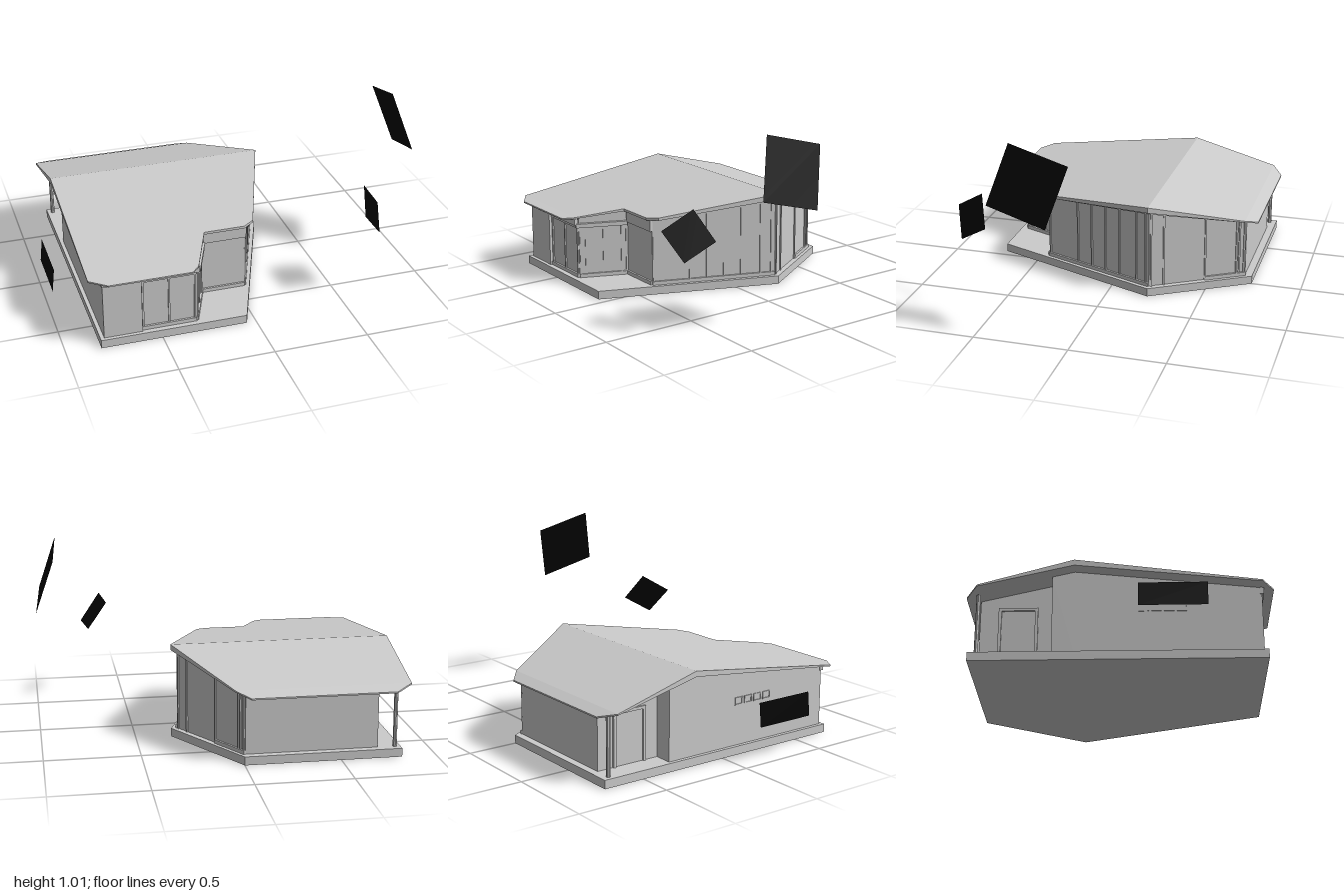
import * as THREE from 'three';

const grey = new THREE.MeshStandardMaterial({ color: 0xcccccc, flatShading: true, side: THREE.DoubleSide });
const black = new THREE.MeshStandardMaterial({ color: 0x030303, side: THREE.DoubleSide });

// Roof heights along z: ridge at -0.22, flatter lip at the front eave, steeper at the back
const lerp = THREE.MathUtils.mapLinear;
function roofTop(z) {
  if (z > 0.69) return lerp(z, 0.69, 0.75, 0.39, 0.383);
  if (z > -0.22) return lerp(z, -0.22, 0.69, 0.51, 0.39);
  if (z > -0.69) return lerp(z, -0.22, -0.69, 0.51, 0.38);
  return lerp(z, -0.69, -0.75, 0.38, 0.355);
}
function roofUnder(z) {
  const reach = Math.min(1, Math.abs(z + 0.22) / (z > -0.22 ? 0.91 : 0.47));
  return roofTop(z) - lerp(reach, 0, 1, 0.03, 0.008);
}
const wallTop = (z) => roofUnder(z) - 0.002;

export function createModel() {
  const house = new THREE.Group();
  house.name = 'house';

  // Prism over an [x, z] outline; bottom and top are heights or functions of z
  function prism(name, outline, bottom, top, parent = house) {
    const shape = new THREE.Shape(outline.map(([x, z]) => new THREE.Vector2(x, -z)));
    const geo = new THREE.ExtrudeGeometry(shape, { depth: 1, bevelEnabled: false });
    geo.rotateX(-Math.PI / 2);
    const p = geo.attributes.position;
    for (let i = 0; i < p.count; i++) {
      const h = p.getY(i) > 0.5 ? top : bottom;
      p.setY(i, typeof h === 'function' ? h(p.getZ(i)) : h);
    }
    geo.computeVertexNormals();
    const mesh = new THREE.Mesh(geo, grey);
    mesh.name = name;
    parent.add(mesh);
    return mesh;
  }

  // Bar of width w centred on the plan line a-b
  function bar(name, a, b, w, bottom, top) {
    const dx = b[0] - a[0], dz = b[1] - a[1], l = Math.hypot(dx, dz);
    const nx = (-dz / l) * w / 2, nz = (dx / l) * w / 2;
    prism(name, [[a[0] + nx, a[1] + nz], [b[0] + nx, b[1] + nz], [b[0] - nx, b[1] - nz], [a[0] - nx, a[1] - nz]], bottom, top);
  }

  // Upright bars at fractions of the line a-b
  function mullions(a, b, fractions, top, w = 0.009) {
    const l = Math.hypot(b[0] - a[0], b[1] - a[1]);
    const at = (t) => [a[0] + (b[0] - a[0]) * t, a[1] + (b[1] - a[1]) * t];
    for (const t of fractions) bar('mullion', at(t - w / 2 / l), at(t + w / 2 / l), 0.014, 0.045, top);
  }

  // Ground slab
  prism('slab', [[-0.82, 0.71], [-0.05, 0.71], [0.31, -0.22], [0, -0.73], [-0.82, -0.73]], 0, 0.045);

  // Roof, one prism for each pitch
  const roof = new THREE.Group();
  roof.name = 'roof';
  house.add(roof);
  const pitches = {
    backEave: [[-0.87, -0.69], [-0.78, -0.75], [-0.03, -0.75], [0.04, -0.69]],
    backPitch: [[-0.87, -0.22], [-0.87, -0.69], [0.04, -0.69], [0.31, -0.22]],
    frontPitch: [[-0.87, -0.22], [0.31, -0.22], [0.08, 0.41], [0.02, 0.45], [-0.2, 0.45], [-0.3, 0.69], [-0.87, 0.69]],
    frontEave: [[-0.87, 0.69], [-0.3, 0.69], [-0.31, 0.71], [-0.35, 0.75], [-0.78, 0.75]],
  };
  for (const [name, outline] of Object.entries(pitches)) prism(name, outline, roofUnder, roofTop, roof);

  // Walls: wing and main room in front, porch recess at the back left
  const wingA = [-0.31, 0.67], wingB = [-0.21, 0.42], frontRight = [0.03, 0.42];
  const ridgeRight = [0.275, -0.22], backRight = [-0.01, -0.69];
  prism('frontWalls', [[-0.8, -0.22], [-0.8, 0.69], [-0.6, 0.69], [-0.6, 0.67], wingA, wingB, frontRight, ridgeRight], 0.045, wallTop);
  prism('backWalls', [[-0.8, -0.22], ridgeRight, backRight, [-0.7, -0.69], [-0.7, -0.33], [-0.8, -0.33]], 0.045, wallTop);

  // Sills along the foot of the glazed walls
  const backMid = [0.111, -0.49];
  const runs = [[[-0.6, 0.67], wingA], [wingA, wingB], [wingB, frontRight], [frontRight, ridgeRight], [backMid, backRight]];
  for (const [a, b] of runs) bar('sill', a, b, 0.022, 0.045, 0.065);

  // Headers
  bar('header', [-0.805, 0.69], [-0.3, 0.69], 0.02, 0.345, wallTop);
  bar('header', [-0.305, 0.69], [-0.2, 0.43], 0.02, 0.33, 0.352);
  bar('header', [-0.2, 0.425], [0.035, 0.425], 0.02, 0.345, wallTop);
  bar('topRail', [-0.6, 0.67], wingA, 0.014, 0.322, 0.332);
  bar('topRail', frontRight, ridgeRight, 0.014, (z) => wallTop(z) - 0.015, wallTop);
  bar('topRail', ridgeRight, backRight, 0.014, (z) => wallTop(z) - 0.015, wallTop);

  // Mullions
  mullions([-0.6, 0.67], wingA, [0.03, 0.5, 0.97], 0.33);
  mullions(wingA, wingB, [0.03, 0.14, 0.5, 0.87, 0.97], 0.335);
  mullions(frontRight, ridgeRight, [0.01, 0.3, 0.44, 0.58, 0.72, 0.88, 0.97], wallTop);
  mullions(ridgeRight, backRight, [0.02, 0.15, 0.575, 0.9, 0.93, 0.98], wallTop);

  // Porch post and door
  const post = new THREE.Mesh(new THREE.CylinderGeometry(0.011, 0.011, 0.315, 8), grey);
  post.name = 'porchPost';
  post.position.set(-0.79, 0.2025, -0.69);
  house.add(post);
  bar('doorJamb', [-0.7, -0.6], [-0.7, -0.585], 0.02, 0.045, 0.33);
  bar('doorJamb', [-0.7, -0.42], [-0.7, -0.405], 0.02, 0.045, 0.33);
  bar('doorHead', [-0.7, -0.6], [-0.7, -0.405], 0.02, 0.315, 0.33);

  // Row of small high windows on the back left side
  for (let i = 0; i < 4; i++) {
    const z = 0.09 + i * 0.062;
    const frame = new THREE.Shape([[0, 0], [0.05, 0], [0.05, 0.04], [0, 0.04]].map((p) => new THREE.Vector2(...p)));
    frame.holes.push(new THREE.Path([[0.005, 0.005], [0.005, 0.035], [0.045, 0.035], [0.045, 0.005]].map((p) => new THREE.Vector2(...p))));
    const mesh = new THREE.Mesh(new THREE.ExtrudeGeometry(frame, { depth: 0.005, bevelEnabled: false }), grey);
    mesh.name = 'smallWindow';
    mesh.rotation.y = -Math.PI / 2;
    mesh.position.set(-0.8, 0.26, z);
    house.add(mesh);
  }

  // Free-floating black panels, four corners each
  const panels = {
    largePanel: [0.905, 0.925, 0.015, 1, 0.627, 0.105, 0.972, 0.71, 0.415, 0.88, 1.007, 0.325],
    smallPanel: [0.63, 0.627, 0.573, 0.74, 0.48, 0.518, 0.69, 0.387, 0.67, 0.578, 0.53, 0.727],
    sidePanel: [-1, 0.195, 0.09, -1, 0.195, 0.42, -0.987, 0.32, 0.42, -0.987, 0.32, 0.09],
  };
  for (const [name, corners] of Object.entries(panels)) {
    const geo = new THREE.BufferGeometry();
    geo.setAttribute('position', new THREE.Float32BufferAttribute(corners, 3));
    geo.setIndex([0, 1, 2, 0, 2, 3]);
    geo.computeVertexNormals();
    const mesh = new THREE.Mesh(geo, black);
    mesh.name = name;
    house.add(mesh);
  }
  return house;
}
